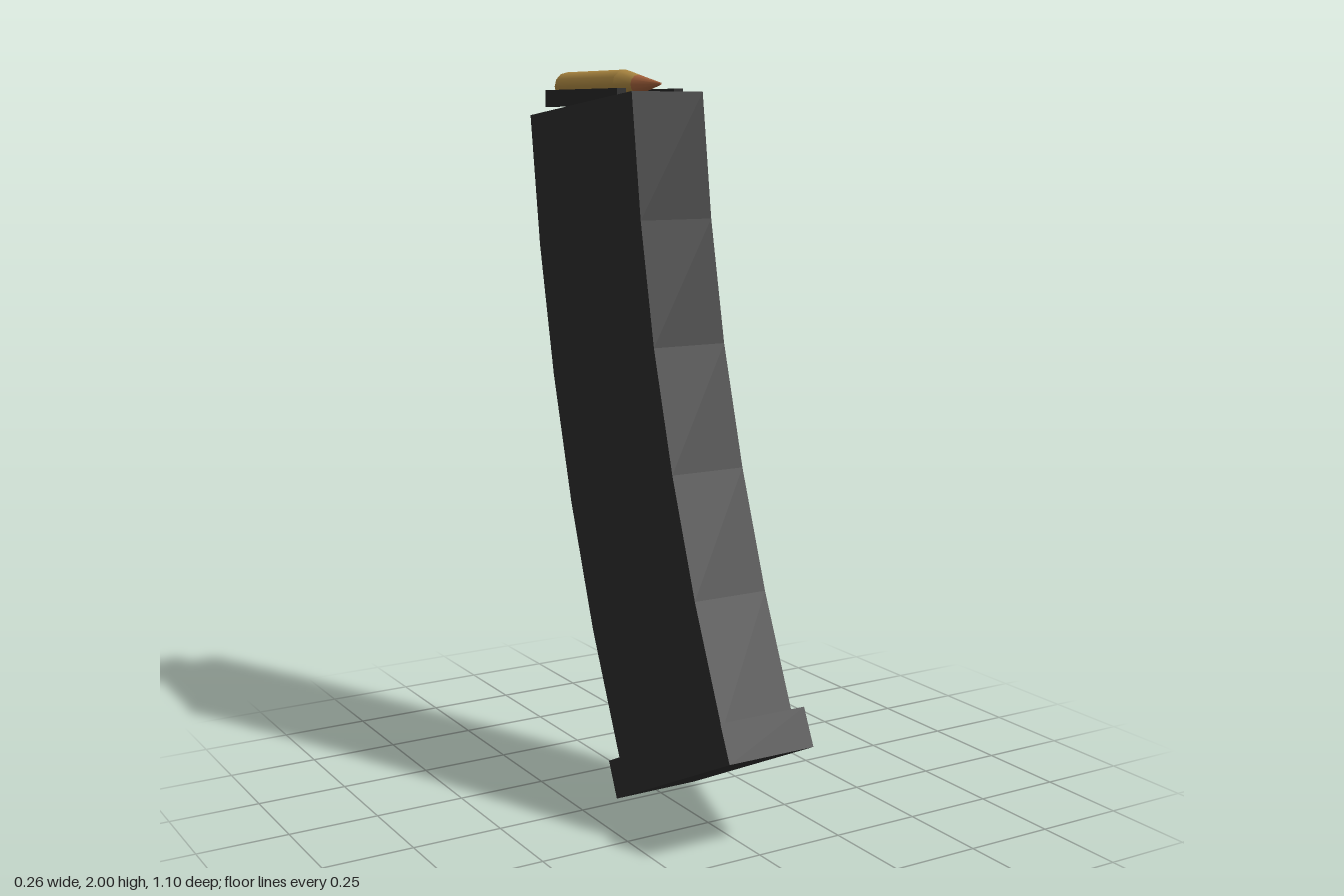
import * as THREE from 'three';

const mat = (name, color) => {
  const m = new THREE.MeshStandardMaterial({ color });
  m.name = name;
  return m;
};

export function createModel() {
  const group = new THREE.Group();
  const steel = mat('dark steel', 0x2c2c2c);
  const lipSteel = mat('lip steel', 0x272727);
  const brass = mat('brass', 0xa98540);
  const copper = mat('copper', 0xa5623c);

  const add = (name, geometry, material) => {
    const mesh = new THREE.Mesh(geometry, material);
    mesh.name = name;
    group.add(mesh);
    return mesh;
  };

  // Extrudes a side outline of [z, y] points to a width centred on x = 0
  const sideSlab = (points, width) => {
    const shape = new THREE.Shape(points.map(([z, y]) => new THREE.Vector2(z, y)));
    return new THREE.ExtrudeGeometry(shape, { depth: width, bevelEnabled: false })
      .translate(0, 0, -width / 2)
      .rotateY(-Math.PI / 2);
  };

  // Curved case, front edge downwards then back edge upwards
  const front = [[0.035, 1.94], [0.08, 1.61], [0.147, 1.285], [0.24, 0.965], [0.352, 0.655], [0.485, 0.35]];
  const back = [[-0.04, 0.1], [-0.195, 0.445], [-0.32, 0.795], [-0.42, 1.15], [-0.497, 1.515], [-0.547, 1.88]];
  add('curvedBody', sideSlab([...front, ...back], 0.216), steel);

  // Wider floor plate, square to the lower end
  add('basePlate', sideSlab([[0.551, 0.285], [0.507, 0.38], [-0.069, 0.097], [-0.025, 0]], 0.256), steel);

  // Feed lips
  for (const side of [1, -1]) {
    const lip = add(side > 0 ? 'leftFeedLip' : 'rightFeedLip', new THREE.BoxGeometry(0.027, 0.046, 0.412), lipSteel);
    lip.position.set(side * 0.0875, 1.926, -0.26);
  }

  // Top cartridge, pointing forwards
  const axisY = 1.96;
  const taper = (name, z0, z1, r0, r1, material) => {
    const g = new THREE.CylinderGeometry(r1, r0, z1 - z0, 12).rotateX(Math.PI / 2);
    add(name, g, material).position.set(0, axisY, (z0 + z1) / 2);
  };
  taper('cartridgeCase', -0.525, -0.187, 0.041, 0.041, brass);
  taper('cartridgeShoulder', -0.187, -0.115, 0.041, 0.026, brass);
  taper('bulletTip', -0.115, 0, 0.026, 0.003, copper);

  return group;
}
